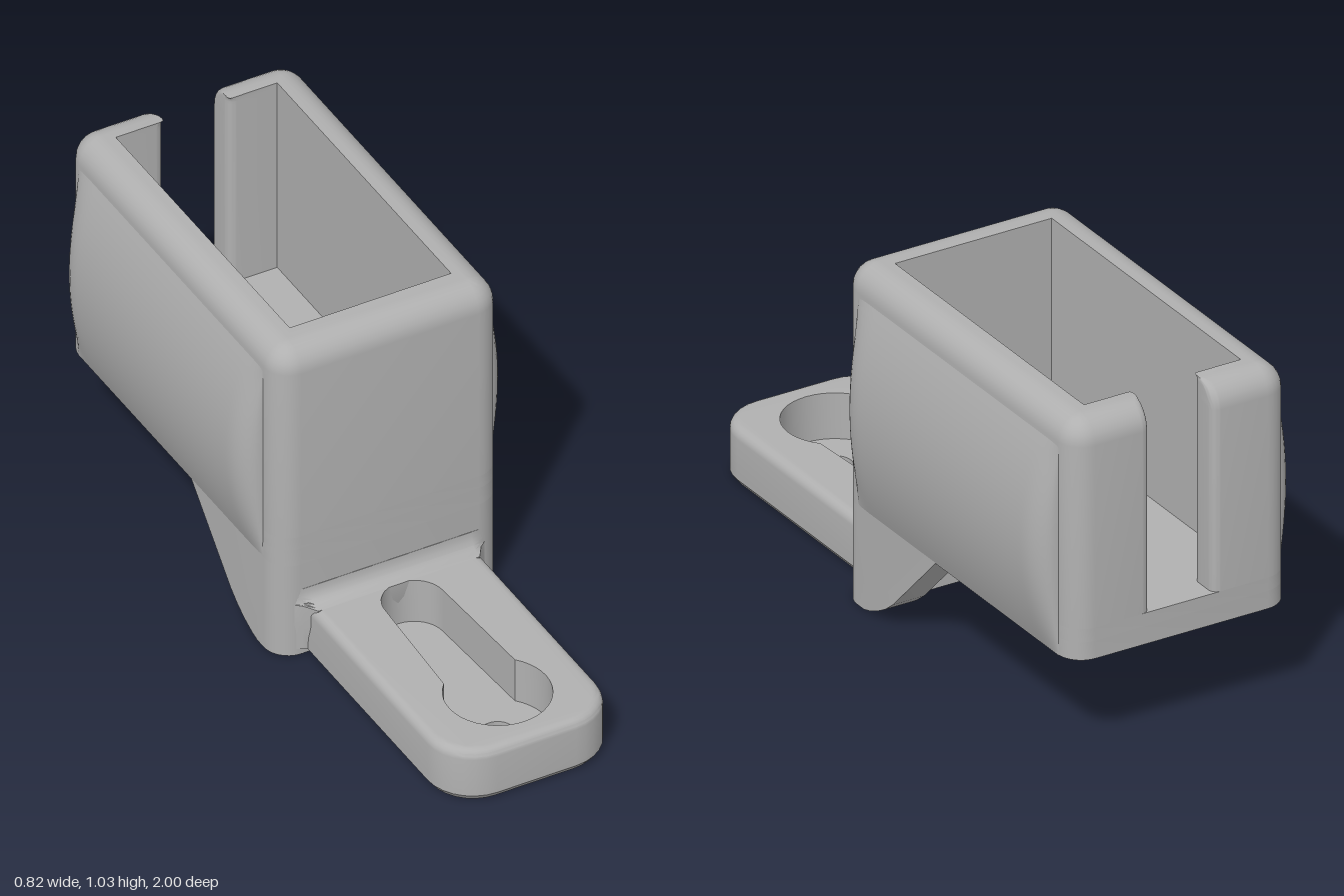
import * as THREE from 'three';
import { toCreasedNormals } from 'three/addons/utils/BufferGeometryUtils.js';

const ARC = 7;

// Outline in (x, z) from corners [x, z, radius]; right-angled corners may be rounded.
function outline(corners) {
  const pts = [];
  corners.forEach(([x, z, r = 0], i) => {
    const p = new THREE.Vector2(x, z);
    if (!r) return pts.push(p);
    const n = corners.length;
    const dir = (c) => new THREE.Vector2(c[0], c[1]).sub(p).normalize();
    const a = dir(corners[(i + n - 1) % n]);
    const b = dir(corners[(i + 1) % n]);
    const centre = p.clone().addScaledVector(a, r).addScaledVector(b, r);
    for (let k = 0; k <= ARC; k++) {
      const t = (k / ARC) * Math.PI / 2;
      pts.push(centre.clone().addScaledVector(b, -r * Math.cos(t)).addScaledVector(a, -r * Math.sin(t)));
    }
  });
  return pts;
}

// Solid through horizontal sections { y, loops: [outer, ...holes] }, listed upwards.
function loft(sections) {
  const pos = [];
  const put = (p, y) => pos.push(p.x, y, p.y);
  for (const s of sections) {
    s.loops = s.loops.map((l, i) =>
      (THREE.ShapeUtils.area(l) > 0) === (i === 0) ? l : l.slice().reverse());
  }
  for (let k = 0; k + 1 < sections.length; k++) {
    const lo = sections[k], hi = sections[k + 1];
    lo.loops.forEach((loop, j) => loop.forEach((p, i) => {
      const n = (i + 1) % loop.length, q = loop[n];
      const P = hi.loops[j][i], Q = hi.loops[j][n];
      put(p, lo.y); put(P, hi.y); put(Q, hi.y);
      put(p, lo.y); put(Q, hi.y); put(q, lo.y);
    }));
  }
  const cap = ({ y, loops }, top) => {
    const all = loops.flat();
    for (const f of THREE.ShapeUtils.triangulateShape(loops[0].slice(), loops.slice(1))) {
      const t = f.map((i) => all[i]);
      if ((THREE.ShapeUtils.area(t) < 0) !== top) t.reverse();
      t.forEach((p) => put(p, y));
    }
  };
  cap(sections[0], false);
  cap(sections[sections.length - 1], true);
  const geo = new THREE.BufferGeometry();
  geo.setAttribute('position', new THREE.Float32BufferAttribute(pos, 3));
  return toCreasedNormals(geo, 0.6);
}

const prism = (y0, y1, ...loops) => loft([{ y: y0, loops }, { y: y1, loops }]);

function circle(x, z, r, n = 36) {
  return Array.from({ length: n }, (_, i) => {
    const t = (i / n) * Math.PI * 2;
    return new THREE.Vector2(x + r * Math.cos(t), z + r * Math.sin(t));
  });
}

// Holder walls, open at the rear slot, inset by d
function wallOutline(d) {
  const w = 0.35 - d, f = 0.18 - d, b = -1 + d;
  const r = Math.max(0.002, 0.075 - d), s = Math.min(0.025, 0.4 * (0.1 - d));
  return outline([
    [w, f, r], [-w, f, r], [-w, b, r], [-0.1, b, s], [-0.1, -0.9, s], [-0.25, -0.9],
    [-0.25, 0.07], [0.25, 0.07], [0.25, -0.9], [0.1, -0.9, s], [0.1, b, s], [w, b, r],
  ]);
}

// Arm plan, inset by d
const armOutline = (d) => outline([
  [0.262 - d, 0.15], [0.262 - d, 1 - d, 0.14 - d], [-0.262 + d, 1 - d, 0.14 - d], [-0.262 + d, 0.15],
]);

// Round head with a narrowing slot
function keyhole() {
  const pts = [], end = Math.PI - 0.823;
  for (let i = 0; i <= 30; i++) {
    const t = -end + (2 * end * i) / 30;
    pts.push(new THREE.Vector2(0.15 * Math.sin(t), 0.78 + 0.15 * Math.cos(t)));
  }
  for (let i = 0; i <= 16; i++) {
    const t = (i / 16) * Math.PI;
    pts.push(new THREE.Vector2(0.09 * Math.cos(t), 0.315 - 0.09 * Math.sin(t)));
  }
  return pts;
}

// Convex side panel facing +x, with rounded ends
function bulge() {
  const geo = new THREE.PlaneGeometry(2, 2, 40, 24).rotateY(Math.PI / 2);
  const p = geo.attributes.position;
  for (let i = 0; i < p.count; i++) {
    const z = Math.sin(p.getZ(i) * Math.PI / 2) * 0.515, v = p.getY(i);
    const e = Math.min(1, (0.515 - Math.abs(z)) / 0.09);
    const h = 0.062 * (1 - v * v) * Math.sqrt(Math.max(0, 1 - (1 - e) ** 2));
    p.setXYZ(i, 0.349 + h, 0.625 + v * 0.322, z);
  }
  geo.computeVertexNormals();
  return geo;
}

export function createModel() {
  const model = new THREE.Group();
  const grey = new THREE.MeshStandardMaterial({ color: 0xb0b0b0 });
  grey.name = 'grey plastic';
  const add = (name, geo) => {
    const mesh = new THREE.Mesh(geo, grey);
    mesh.name = name;
    model.add(mesh);
    return mesh;
  };

  // Holder walls with a rounded rim
  const wall = [{ y: 0.4, loops: [wallOutline(0)] }];
  for (let i = 0; i <= 7; i++) {
    const t = (i / 7) * Math.PI / 2;
    wall.push({ y: 0.955 + 0.075 * Math.sin(t), loops: [wallOutline(0.075 * (1 - Math.cos(t)))] });
  }
  add('holderWalls', loft(wall));

  // Floor with an open front window and a blind hole underneath
  const base = outline([[0.35, 0.18, 0.075], [-0.35, 0.18, 0.075], [-0.35, -1, 0.075], [0.35, -1, 0.075]]);
  const window = outline([[0.25, 0.07], [-0.25, 0.07], [-0.25, -0.3], [0.25, -0.3]]);
  add('floorUnderside', prism(0.305, 0.36, base, window, circle(0, -0.65, 0.09)));
  add('floorTop', prism(0.36, 0.4, base, window));

  // Legs below the holder, cut away along a curved slope: [y, rear z]
  const slope = [[0, 0.069], [0.008, 0.04], [0.025, 0], [0.048, -0.04], [0.08, -0.08], [0.305, -0.3]];
  add('lowerSupport', loft(slope.map(([y, b]) => ({
    y,
    loops: [outline([
      [0.35, b], [0.35, 0.18, 0.075], [-0.35, 0.18, 0.075], [-0.35, b],
      [-0.25, b], [-0.25, 0.07], [0.25, 0.07], [0.25, b],
    ])],
  }))));

  // Bulging side panels
  for (const turn of [0, Math.PI]) {
    const panel = add(turn ? 'rightSidePanel' : 'leftSidePanel', bulge());
    panel.position.z = -0.415;
    panel.rotation.y = turn;
  }

  // Mounting arm: thin base with a screw hole, keyhole pocket above
  const screw = circle(0, 0.78, 0.05);
  add('armBase', loft([[0, 0.015], [0.02, 0], [0.03, 0]].map(([y, d]) => ({ y, loops: [armOutline(d), screw] }))));
  const arm = [{ y: 0.03, loops: [armOutline(0), keyhole()] }];
  for (let i = 0; i <= 5; i++) {
    const t = (i / 5) * Math.PI / 2;
    arm.push({ y: 0.142 + 0.028 * Math.sin(t), loops: [armOutline(0.028 * (1 - Math.cos(t))), keyhole()] });
  }
  add('armTop', loft(arm));

  // Flared fillet where the arm meets the holder
  const flare = (y, d) => ({
    y,
    loops: [outline([
      [0.3, 0.15], [0.3, 0.173], [0.275, 0.18 + 0.25 * d], [0.25, 0.18 + d],
      [-0.25, 0.18 + d], [-0.275, 0.18 + 0.25 * d], [-0.3, 0.173], [-0.3, 0.15],
    ])],
  });
  const neck = [flare(0.02, 0.02), flare(0.1, 0.045)];
  for (let i = 0; i <= 6; i++) {
    const t = (i / 6) * Math.PI / 2;
    neck.push(flare(0.22 - 0.05 * Math.cos(t), 0.001 + 0.05 * (1 - Math.sin(t))));
  }
  add('neckFillet', loft(neck));

  return model;
}
